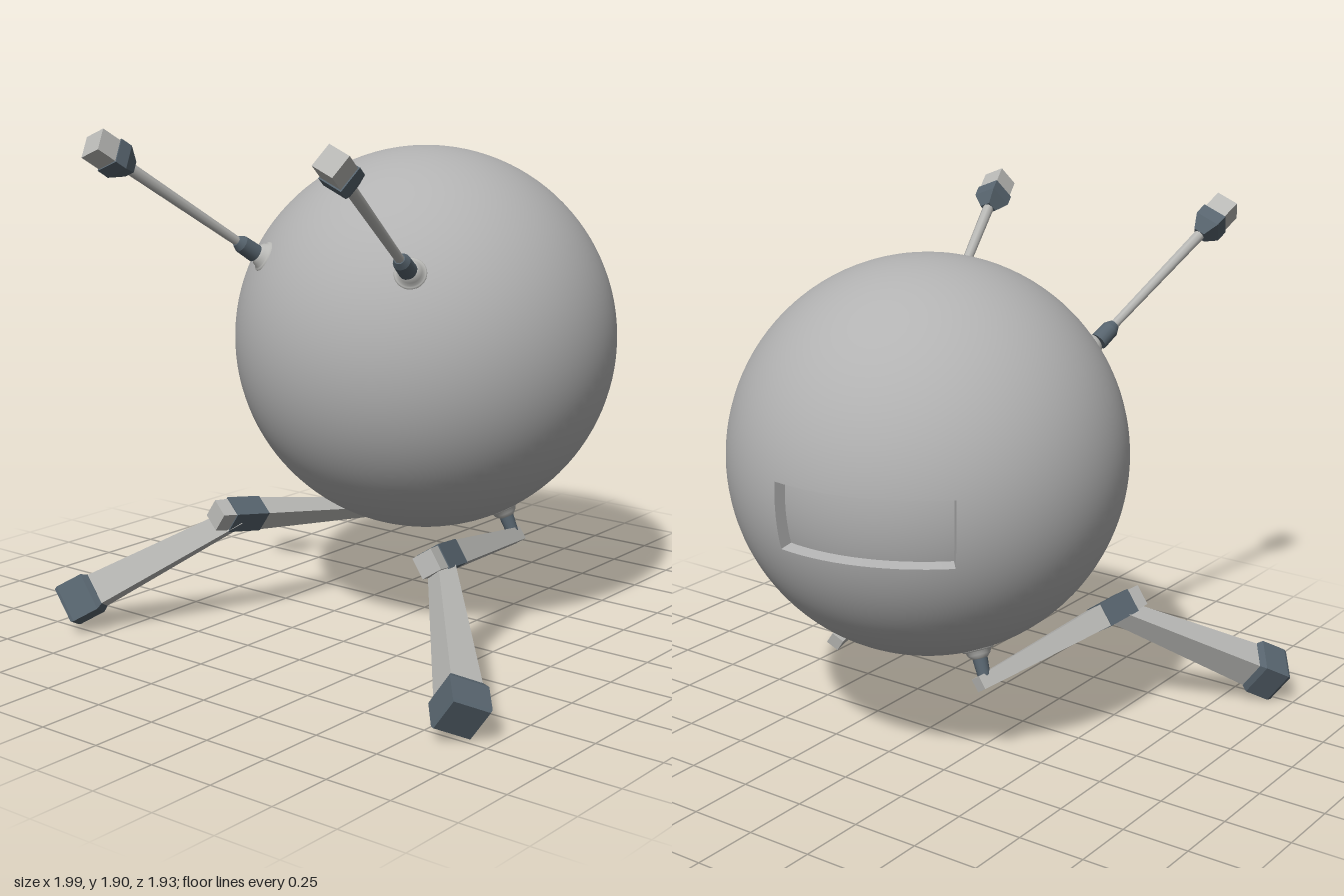
import * as THREE from 'three';

const V = (x, y, z) => new THREE.Vector3(x, y, z);
const paint = (name, color) => {
  const m = new THREE.MeshStandardMaterial({ color });
  m.name = name;
  return m;
};

export function createModel() {
  const root = new THREE.Group();
  root.name = 'sphericalRobot';
  const grey = paint('hull grey', 0xb2b2b2);
  const limb = paint('limb grey', 0xb8b8b5);
  const slate = paint('dark slate', 0x57646e);

  const add = (parent, name, geo, mat) => {
    const m = new THREE.Mesh(geo, mat);
    m.name = name;
    parent.add(m);
    return m;
  };

  // Puts a geometry built along +y at a, pointing to b, with its x axis in the xy plane
  const align = (geo, a, b) => {
    const d = b.clone().sub(a).normalize();
    const side = V(0, 0, 1).cross(d).normalize();
    const back = side.clone().cross(d);
    return geo.applyMatrix4(new THREE.Matrix4().makeBasis(side, d, back).setPosition(a));
  };

  // Square tapered bar from a to b
  const bar = (parent, name, a, b, w0, w1, mat) => {
    const len = a.distanceTo(b);
    let g = new THREE.CylinderGeometry(w1 * Math.SQRT1_2, w0 * Math.SQRT1_2, len, 4);
    g = g.rotateY(Math.PI / 4).translate(0, len / 2, 0).toNonIndexed();
    g.computeVertexNormals();
    return add(parent, name, align(g, a, b), mat);
  };

  // Round bar from a to b
  const rod = (parent, name, a, b, r0, r1, mat, sides = 16) => {
    const len = a.distanceTo(b);
    const g = new THREE.CylinderGeometry(r1, r0, len, sides).translate(0, len / 2, 0);
    return add(parent, name, align(g, a, b), mat);
  };

  // Hull: a sphere with a sunken slot in its back
  const R = 0.72, depth = 0.045, segs = 96, step = (Math.PI * 2) / segs;
  const centre = V(0, 1.08, -0.25);
  const p0 = 4.57, slotSegs = 14, p1 = p0 + slotSegs * step;
  const t0 = 1.48, t1 = 1.82;
  const hull = new THREE.Group();
  hull.name = 'hull';
  hull.position.copy(centre);
  root.add(hull);
  const patch = (name, r, nu, nv, pa, pl, ta, tb) =>
    add(hull, name, new THREE.SphereGeometry(r, nu, nv, pa, pl, ta, tb - ta), grey);
  patch('hullTop', R, segs, 26, p0, Math.PI * 2, 0, t0);
  patch('hullBottom', R, segs, 24, p0, Math.PI * 2, t1, Math.PI);
  patch('hullBand', R, segs - slotSegs, 6, p1, Math.PI * 2 - slotSegs * step, t0, t1);
  patch('slotPanel', R - depth, slotSegs, 6, p0, slotSegs * step, t0, t1);

  // Slot walls follow the rim, counter-clockwise seen from outside
  const rim = [];
  const edge = (pa, ta, pb, tb, n) => {
    for (let i = 0; i < n; i++) rim.push([pa + ((pb - pa) * i) / n, ta + ((tb - ta) * i) / n]);
  };
  edge(p0, t1, p1, t1, slotSegs);
  edge(p1, t1, p1, t0, 6);
  edge(p1, t0, p0, t0, slotSegs);
  edge(p0, t0, p0, t1, 6);
  const at = ([p, t], r) => [-r * Math.cos(p) * Math.sin(t), r * Math.cos(t), r * Math.sin(p) * Math.sin(t)];
  const pos = [];
  rim.forEach((a, i) => {
    const b = rim[(i + 1) % rim.length];
    const o0 = at(a, R), o1 = at(b, R), n0 = at(a, R - depth), n1 = at(b, R - depth);
    pos.push(...o0, ...o1, ...n0, ...o1, ...n1, ...n0);
  });
  const walls = new THREE.BufferGeometry();
  walls.setAttribute('position', new THREE.Float32BufferAttribute(pos, 3));
  walls.computeVertexNormals();
  add(hull, 'slotWalls', walls, grey);

  // Rounded socket sitting on the hull along a direction from its centre
  const socketProfile = [[0.05, -0.03], [0.06, -0.012], [0.06, 0], [0.054, 0.008], [0.047, 0.008],
    [0.042, 0.022], [0.03, 0.034], [0.024, 0.038], [0, 0.038]].map(([x, y]) => new THREE.Vector2(x, y));
  const socket = (parent, name, dir) => {
    const a = centre.clone().addScaledVector(dir.normalize(), R - 0.005);
    add(parent, name, align(new THREE.LatheGeometry(socketProfile, 32), a, a.clone().add(dir)), limb);
    return a;
  };

  for (const s of [1, -1]) {
    const side = s > 0 ? 'left' : 'right';

    // Arm: socket, dark joint, slim rod, flared dark cuff and square tip
    const arm = new THREE.Group();
    arm.name = side + 'Arm';
    root.add(arm);
    socket(arm, 'shoulderSocket', V(s * 0.35, 0.35, 0.56));
    const a0 = V(s * 0.35, 1.43, 0.32), a1 = V(s * 0.525, 1.86, 0.94);
    const A = t => a0.clone().lerp(a1, t);
    rod(arm, 'shoulderJoint', A(0), A(0.09), 0.034, 0.032, slate);
    rod(arm, 'shoulderCollar', A(0.09), A(0.12), 0.032, 0.02, slate);
    rod(arm, 'armRod', A(0.1), A(0.8), 0.017, 0.022, limb, 8);
    bar(arm, 'wristFlare', A(0.775), A(0.84), 0.045, 0.098, slate);
    bar(arm, 'wristCuff', A(0.84), A(0.9), 0.098, 0.098, slate);
    bar(arm, 'handBlock', A(0.9), A(1), 0.088, 0.088, limb);

    // Leg: socket, neck, thigh, knee, shin and square foot
    const leg = new THREE.Group();
    leg.name = side + 'Leg';
    root.add(leg);
    const hip = socket(leg, 'hipSocket', V(s * 0.31, -0.68, -0.11));
    const h = V(s * 0.33, 0.322, -0.4), k = V(s * 0.495, 0.435, 0.4);
    const T = t => h.clone().lerp(k, t);
    rod(leg, 'hipNeck', hip, T(0.04), 0.03, 0.022, slate);
    bar(leg, 'thigh', T(0), T(0.76), 0.05, 0.088, limb);
    bar(leg, 'kneeCuff', T(0.75), T(0.93), 0.093, 0.093, slate);
    bar(leg, 'kneeCap', T(0.93), T(1), 0.084, 0.08, limb);
    const s0 = V(s * 0.475, 0.41, 0.29), s1 = V(s * 0.92, 0.087, 0.775);
    const S = t => s0.clone().lerp(s1, t);
    bar(leg, 'shin', S(0), S(0.86), 0.07, 0.122, limb);
    bar(leg, 'footBevel', S(0.82), S(0.85), 0.122, 0.146, slate);
    bar(leg, 'foot', S(0.85), S(0.985), 0.146, 0.146, slate);
    bar(leg, 'footSole', S(0.985), S(1), 0.146, 0.136, slate);
  }
  return root;
}
